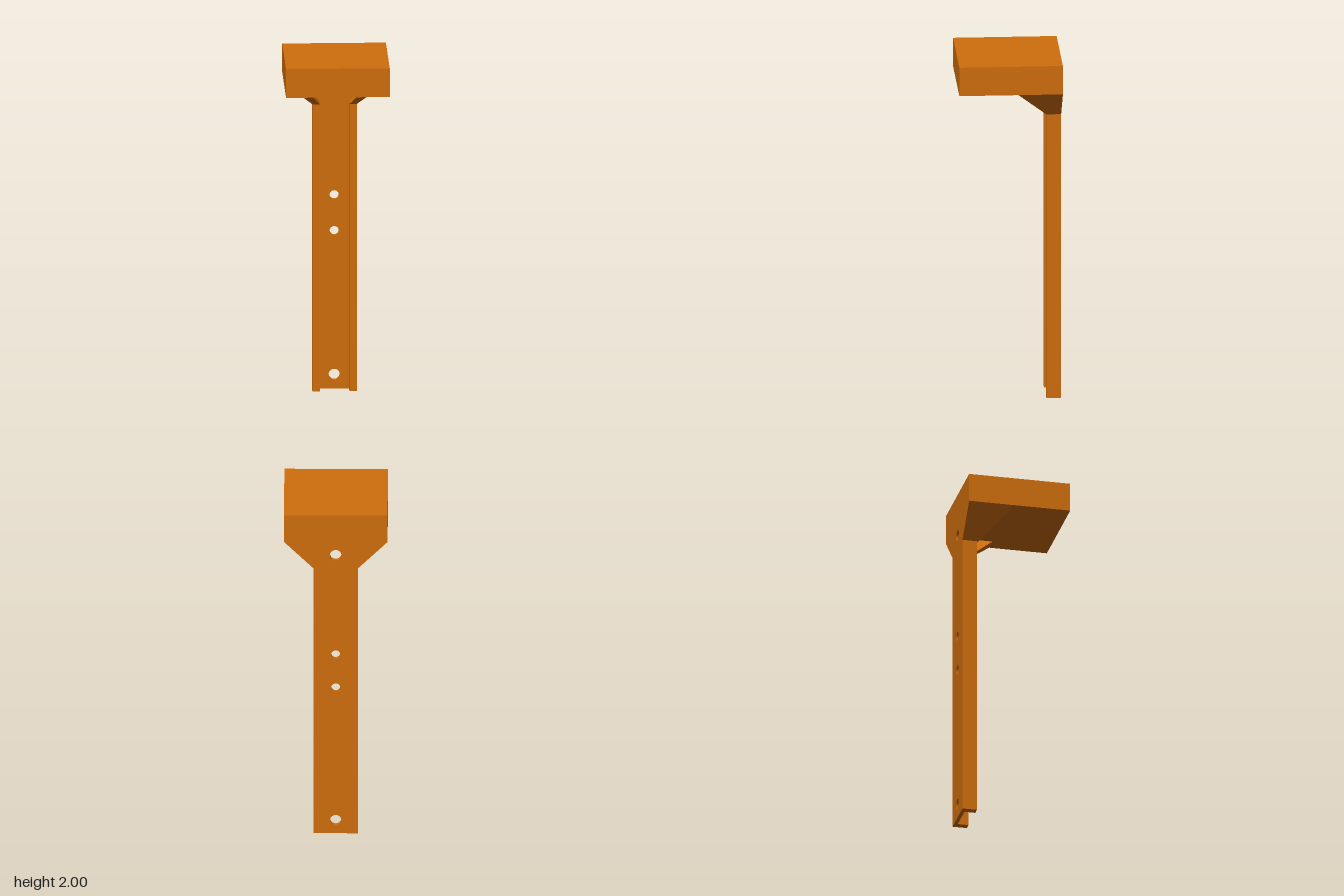
import * as THREE from 'three';

const U = 1 / 24; // design unit: the model is 48 units tall
const BACK = -7;

// Loft rectangular sections [y, x0, x1, zFront] that share one back plane
function loft(sections) {
  const pos = [];
  const rings = sections.map(([y, x0, x1, z]) => {
    const a = Math.min(x0, x1), b = Math.max(x0, x1);
    return [[b, y, z], [b, y, BACK], [a, y, BACK], [a, y, z]];
  });
  const quad = (p, q, r, s) => pos.push(...p, ...q, ...r, ...p, ...r, ...s);
  for (let k = 0; k < rings.length - 1; k++) {
    const lo = rings[k], hi = rings[k + 1];
    for (let i = 0; i < 4; i++) {
      const j = (i + 1) % 4;
      quad(lo[i], lo[j], hi[j], hi[i]);
    }
  }
  quad(...rings[0].slice().reverse());
  quad(...rings[rings.length - 1]);
  const geo = new THREE.BufferGeometry();
  geo.setAttribute('position', new THREE.Float32BufferAttribute(pos, 3));
  geo.computeVertexNormals();
  return geo.scale(U, U, U);
}

export function createModel() {
  const group = new THREE.Group();
  const material = new THREE.MeshStandardMaterial({ color: 0xcf6e0d, flatShading: true });
  const add = (name, geometry) => {
    const mesh = new THREE.Mesh(geometry, material);
    mesh.name = name;
    group.add(mesh);
  };

  // Square head block
  add('head', new THREE.BoxGeometry(14 * U, 4 * U, 14 * U).translate(0, 46 * U, 0));

  // Thin web at the back of the channel, flaring under the head, with screw holes
  const web = new THREE.Shape(
    [[-2, 0], [2, 0], [2, 40], [5, 44], [-5, 44], [-2, 40]].map(([x, y]) => new THREE.Vector2(x, y))
  );
  for (const [y, r] of [[2, 0.75], [22, 0.62], [27, 0.62], [42, 0.78]]) {
    web.holes.push(new THREE.Path().absarc(0, y, r, 0, Math.PI * 2, true));
  }
  add('web', new THREE.ExtrudeGeometry(web, { depth: 0.5, bevelEnabled: false, curveSegments: 16 })
    .translate(0, 0, BACK).scale(U, U, U));

  // Side flanges that spread into braces under the head
  for (const [name, s] of [['leftFlange', 1], ['rightFlange', -1]]) {
    add(name, loft([
      [0, 2 * s, 3 * s, -5],
      [40, 2 * s, 3 * s, -5],
      [44, 5 * s, 7 * s, -1],
    ]));
  }
  return group;
}
